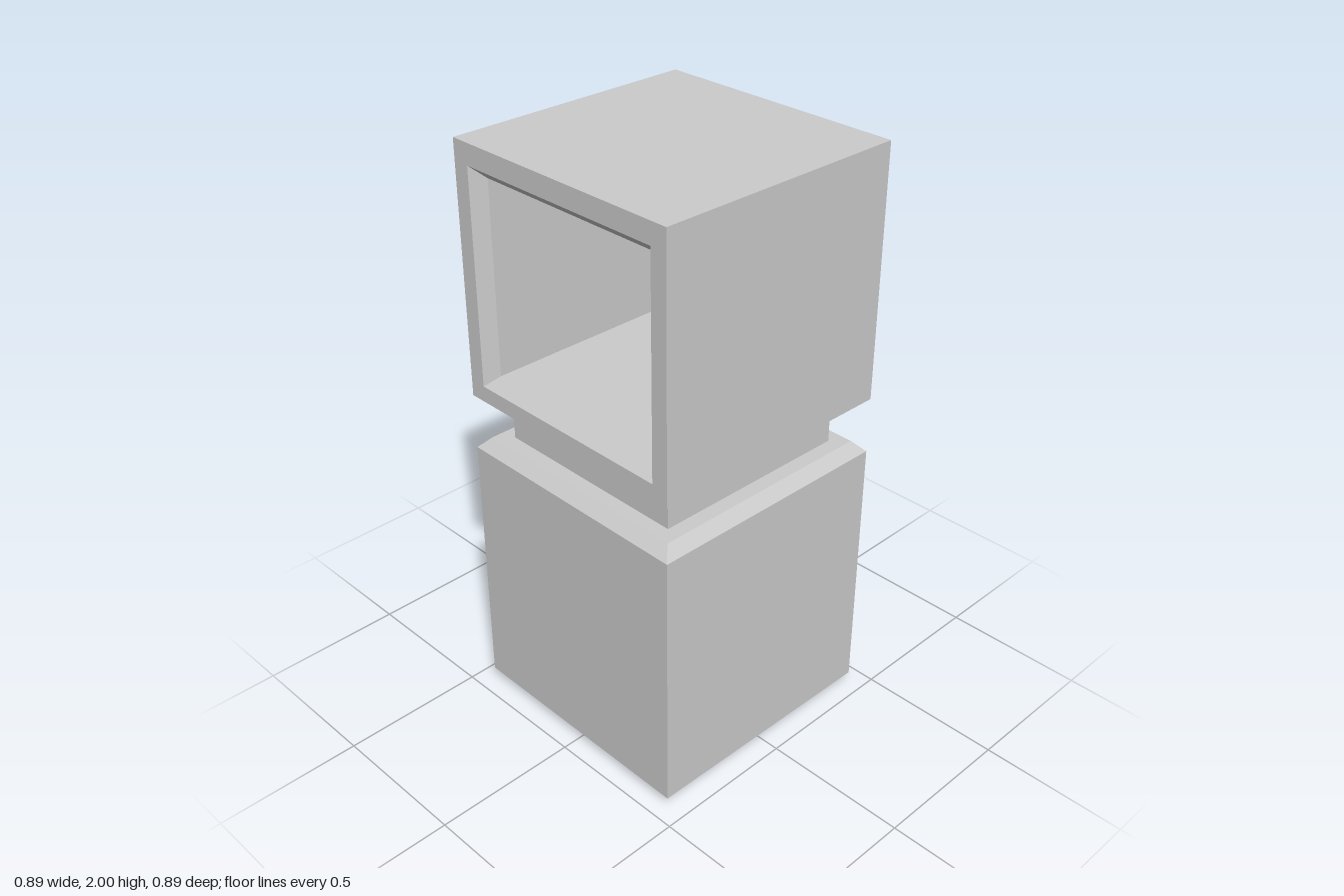
import * as THREE from 'three';

const material = new THREE.MeshStandardMaterial({
  color: 0xcccccc, flatShading: true, side: THREE.DoubleSide,
});

// Square-section shell: profile points are [half width, height]; sides run from +x round the back.
function squareShell(profile, sides = 4) {
  const points = profile.map(([half, y]) => new THREE.Vector2(half * Math.SQRT2, y));
  return new THREE.LatheGeometry(points, sides, Math.PI / 4, sides * Math.PI / 2);
}

function part(name, geometry) {
  const mesh = new THREE.Mesh(geometry, material);
  mesh.name = name;
  return mesh;
}

export function createModel() {
  const group = new THREE.Group();
  group.name = 'boxTower';
  const W = 0.4415; // half width of both blocks

  // Lower block with chamfered rims, open underneath
  group.add(part('lowerBlock', squareShell([
    [0.405, 0], [W, 0.038], [W, 0.957], [0.405, 0.995], [0.354, 0.995],
  ])));

  // Narrow neck between the blocks
  group.add(part('neck', squareShell([[0.354, 0.995], [0.354, 1.15]])));

  // Upper block: underside, three plain walls and the top
  group.add(part('headUnderside', squareShell([[0.354, 1.15], [W, 1.15]])));
  group.add(part('headWalls', squareShell([[W, 1.15], [W, 2]], 3)));
  group.add(part('headTop', squareShell([[W, 2], [0, 2]])));

  // Front frame with its rectangular opening
  const rect = (Type, x, y0, y1) => new Type([
    new THREE.Vector2(-x, y0), new THREE.Vector2(x, y0),
    new THREE.Vector2(x, y1), new THREE.Vector2(-x, y1),
  ]);
  const frame = rect(THREE.Shape, W, 1.15, 2);
  frame.holes.push(rect(THREE.Path, 0.3825, 1.205, 1.93));
  group.add(part('frontFrame', new THREE.ShapeGeometry(frame).translate(0, 0, W)));

  // Deep pocket behind the frame, with a bevelled mouth
  const pocket = squareShell([[0, -0.405], [0.343, -0.405], [0.343, 0.4015], [0.3825, W]]);
  pocket.rotateX(Math.PI / 2).scale(1, 0.948, 1).translate(0, 1.5675, 0);
  group.add(part('pocket', pocket));

  // The whole piece is turned very slightly
  group.rotation.y = -0.0113;
  return group;
}
